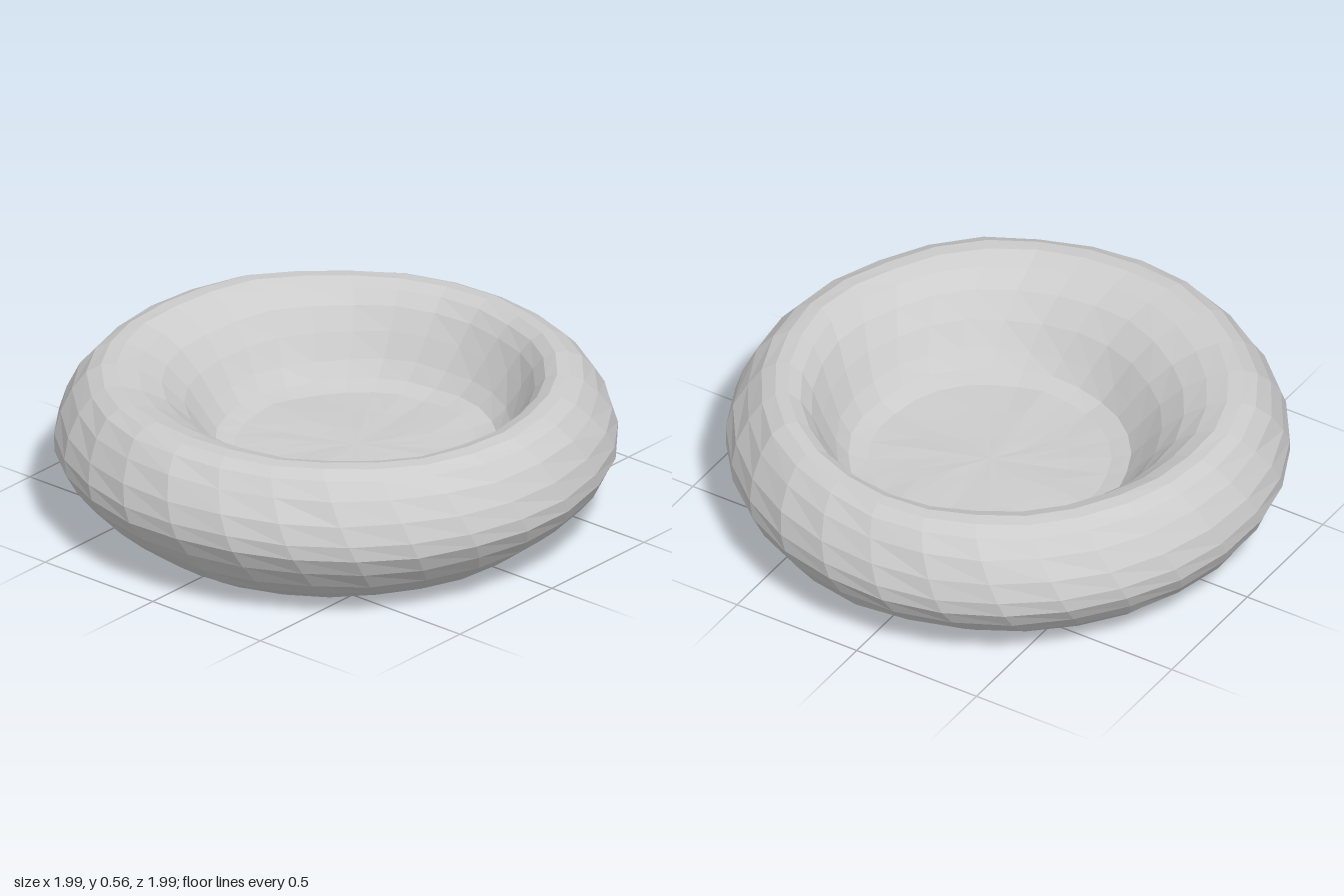
import * as THREE from 'three';

const SEGMENTS = 28;

// Smooth, periodic unevenness, so shared edges and the seam stay closed
function wobble(angle, r, y) {
  return 0.5 * Math.sin(3 * angle + 7 * r + 5 * y)
    + 0.3 * Math.sin(7 * angle - 11 * y + 3 * r)
    + 0.2 * Math.sin(11 * angle + 17 * y - 9 * r);
}

// Revolves a profile, then makes it hand-formed: skewed facets,
// soft bumps and a hollow that sits slightly off centre
function softPart(name, profile) {
  const geometry = new THREE.LatheGeometry(
    profile.map(([r, y]) => new THREE.Vector2(r, y)), SEGMENTS);
  const p = geometry.attributes.position;
  for (let i = 0; i < p.count; i++) {
    const x = p.getX(i), y = p.getY(i), z = p.getZ(i);
    const r = Math.hypot(x, z);
    const raised = y > 0.05;
    const inside = y > 0.2 ? THREE.MathUtils.smoothstep(0.82 - r, 0, 0.28) : 0;
    const angle = Math.atan2(z, x) + (raised ? 0.45 * y : 0);
    const bump = 0.012 * wobble(angle, r, y);
    // The widest part stays close to a true circle
    const newR = r * (1 + (r > 0.96 ? 0.3 * bump : bump));
    const lift = raised ? 0.009 * Math.min(1, r / 0.4) * wobble(angle + 1, r, y) : 0;
    p.setXYZ(i,
      newR * Math.cos(angle) + 0.07 * inside,
      y + lift,
      newR * Math.sin(angle) + 0.03 * inside);
  }
  geometry.computeVertexNormals();
  const mesh = new THREE.Mesh(geometry,
    new THREE.MeshStandardMaterial({ color: 0xcccccc, flatShading: true }));
  mesh.name = name;
  return mesh;
}

export function createModel() {
  const group = new THREE.Group();
  group.name = 'roundBed';

  // Flat underside
  group.add(softPart('base', [[0, 0.004], [0.74, 0.012]]));

  // Padded ring: bulging outside, rounded rim, wall down into the hollow
  group.add(softPart('bolster', [
    [0.74, 0.012], [0.83, 0.07], [0.91, 0.135], [0.965, 0.205], [0.997, 0.27],
    [0.997, 0.325], [0.975, 0.395], [0.93, 0.47], [0.88, 0.525], [0.83, 0.55],
    [0.78, 0.553], [0.72, 0.53], [0.66, 0.483], [0.6, 0.405], [0.545, 0.32],
    [0.5, 0.265]
  ]));

  // Shallow cushion in the middle
  group.add(softPart('cushion', [
    [0.5, 0.265], [0.43, 0.246], [0.28, 0.245], [0.14, 0.245], [0, 0.245]
  ]));

  return group;
}
